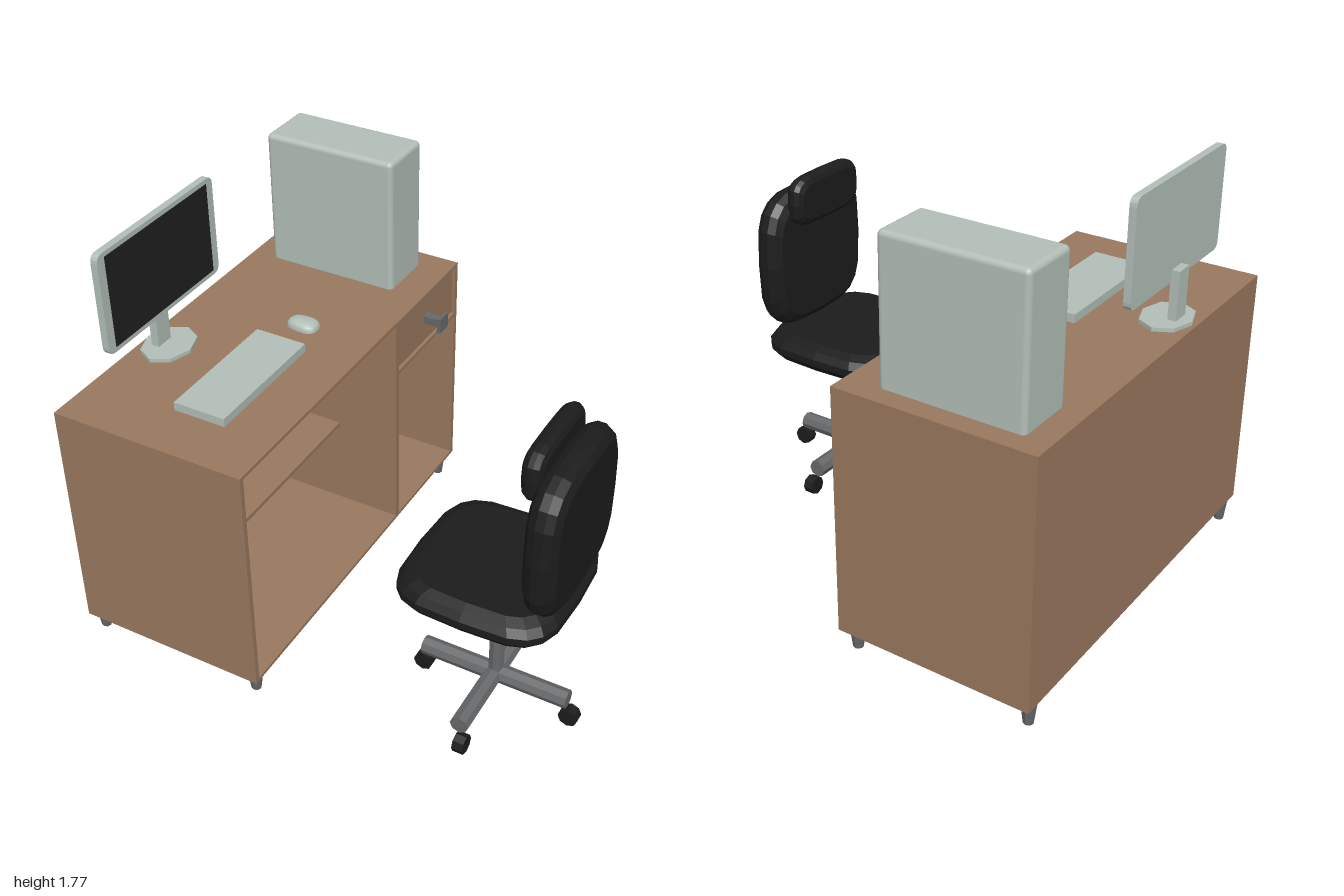
import * as THREE from 'three';
import { RoundedBoxGeometry } from 'three/addons/geometries/RoundedBoxGeometry.js';

const mat = (name, color) => {
  const m = new THREE.MeshStandardMaterial({ color });
  m.name = name;
  return m;
};

// Faceted normals
function flat(geo) {
  const g = geo.index ? geo.toNonIndexed() : geo;
  g.computeVertexNormals();
  return g;
}

// Padded cushion: rounded outline in XY, bevelled thickness along Z
function cushionGeometry(w, h, d, inset, power, sides = 20) {
  const profile = [[null, -1], [1, -1], [0.35, -0.72], [0, -0.25], [0, 0.25], [0.35, 0.72], [1, 1], [null, 1]];
  const pos = [], idx = [];
  const sp = v => Math.sign(v) * Math.abs(v) ** (2 / power);
  for (const [k, z] of profile) {
    for (let i = 0; i < sides; i++) {
      const a = (i / sides) * Math.PI * 2;
      const rx = k === null ? 0 : w / 2 - inset * k;
      const ry = k === null ? 0 : h / 2 - inset * k;
      pos.push(sp(Math.cos(a)) * rx, sp(Math.sin(a)) * ry, (z * d) / 2);
    }
  }
  for (let r = 0; r < profile.length - 1; r++) {
    for (let i = 0; i < sides; i++) {
      const a = r * sides + i, b = r * sides + ((i + 1) % sides);
      if (r > 0) idx.push(a, b, b + sides);
      if (r < profile.length - 2) idx.push(a, b + sides, a + sides);
      if (r === 0) idx.push(a, b + sides, a + sides);
    }
  }
  const g = new THREE.BufferGeometry();
  g.setAttribute('position', new THREE.Float32BufferAttribute(pos, 3));
  g.setIndex(idx);
  return flat(g);
}

export function createModel() {
  const wood = mat('wood', 0x99785f);
  const pale = mat('pale plastic', 0xb3bfb8);
  const metal = mat('grey metal', 0x66686a);
  const black = mat('black fabric', 0x1c1c1c);
  const screenBlack = mat('screen black', 0x202021);

  const model = new THREE.Group();
  model.name = 'workstation';
  const group = name => {
    const g = new THREE.Group();
    g.name = name;
    model.add(g);
    return g;
  };
  const add = (parent, name, geo, material, x = 0, y = 0, z = 0) => {
    const m = new THREE.Mesh(geo, material);
    m.name = name;
    m.position.set(x, y, z);
    parent.add(m);
    return m;
  };
  // Box given by its limits on each axis
  const box = (parent, name, material, x0, x1, y0, y1, z0, z1) =>
    add(parent, name, new THREE.BoxGeometry(x1 - x0, y1 - y0, z1 - z0), material,
      (x0 + x1) / 2, (y0 + y1) / 2, (z0 + z1) / 2);
  const cylinder = (rTop, rBottom, h, n = 8) => flat(new THREE.CylinderGeometry(rTop, rBottom, h, n));

  // Desk carcass, open towards +x
  const desk = group('desk');
  const X0 = -1, X1 = -0.167;
  box(desk, 'deskTop', wood, X0, X1, 1.155, 1.17, -0.858, 0.858);
  box(desk, 'deskBottom', wood, X0, X1, 0.13, 0.145, -0.858, 0.858);
  box(desk, 'leftPanel', wood, X0, X1, 0.145, 1.155, 0.836, 0.858);
  box(desk, 'rightPanel', wood, X0, X1, 0.145, 1.155, -0.858, -0.836);
  box(desk, 'backPanel', wood, X0, X0 + 0.02, 0.145, 1.155, -0.836, 0.836);
  box(desk, 'divider', wood, X0 + 0.02, X1, 0.145, 1.155, -0.323, -0.295);
  box(desk, 'shelf', wood, X0 + 0.02, -0.45, 0.548, 0.567, -0.295, 0.836);
  box(desk, 'drawerShelf', wood, X0 + 0.02, X1, 0.905, 0.922, -0.836, -0.323);

  // Drawer and pull
  box(desk, 'drawer', wood, -0.9, X1 - 0.006, 0.935, 1.152, -0.818, -0.333);
  box(desk, 'drawerPullStem', metal, -0.175, -0.1, 1.028, 1.064, -0.588, -0.55);
  box(desk, 'drawerPullPlate', metal, -0.1, -0.083, 1.012, 1.08, -0.604, -0.534);

  // Tapered feet
  for (const x of [-0.967, -0.212]) {
    for (const z of [-0.797, 0.797]) add(desk, 'deskFoot', cylinder(0.033, 0.021, 0.096), metal, x, 0.084, z);
  }

  // Computer tower, lower rounding sunk into the desk top
  const tower = group('computerTower');
  add(tower, 'towerCase', new RoundedBoxGeometry(0.592, 0.605, 0.258, 3, 0.022), pale, -0.604, 1.4535, -0.644);

  // Monitor
  const monitor = group('monitor');
  const zc = 0.287, hw = 0.362, hh = 0.215, r = 0.035;
  const frame = new THREE.Shape();
  frame.moveTo(-hw + r, -hh);
  frame.lineTo(hw - r, -hh);
  frame.quadraticCurveTo(hw, -hh, hw, -hh + r);
  frame.lineTo(hw, hh - r);
  frame.quadraticCurveTo(hw, hh, hw - r, hh);
  frame.lineTo(-hw + r, hh);
  frame.quadraticCurveTo(-hw, hh, -hw, hh - r);
  frame.lineTo(-hw, -hh + r);
  frame.quadraticCurveTo(-hw, -hh, -hw + r, -hh);
  const casing = new THREE.ExtrudeGeometry(frame, { depth: 0.03, bevelEnabled: false, curveSegments: 4 });
  casing.rotateY(Math.PI / 2);
  add(monitor, 'monitorCase', casing, pale, -0.902, 1.555, zc);
  box(monitor, 'screen', screenBlack, -0.873, -0.869, 1.362, 1.75, zc - 0.32, zc + 0.32);
  box(monitor, 'monitorNeck', pale, -0.935, -0.9, 1.18, 1.39, zc - 0.04, zc + 0.04);
  const base = add(monitor, 'monitorBase', cylinder(1, 1, 0.016), pale, -0.883, 1.18, zc - 0.004);
  base.scale.set(0.103, 1, 0.132);

  // Keyboard and mouse
  box(model, 'keyboard', pale, -0.613, -0.387, 1.17, 1.206, 0.053, 0.626);
  const mouse = new THREE.SphereGeometry(1, 20, 12);
  const p = mouse.attributes.position;
  const soft = v => Math.sign(v) * Math.abs(v) ** 0.75;
  for (let i = 0; i < p.count; i++) {
    const x = soft(p.getX(i));
    // Narrower towards the nose
    p.setXYZ(i, x * 0.07, soft(p.getY(i)) * 0.037, soft(p.getZ(i)) * 0.047 * (1 + 0.1 * x));
  }
  mouse.computeVertexNormals();
  add(model, 'mouse', mouse, pale, -0.492, 1.169, -0.102);

  // Chair, facing the desk
  const chair = group('chair');
  const cx = 0.637, cz = 0.335;
  const seat = cushionGeometry(0.668, 0.67, 0.125, 0.06, 4);
  seat.rotateX(-Math.PI / 2);
  add(chair, 'seat', seat, black, 0.62, 0.662, cz);
  const back = cushionGeometry(0.618, 0.632, 0.13, 0.045, 3.6);
  back.rotateY(Math.PI / 2);
  add(chair, 'backrest', back, black, 0.888, 1.028, cz);
  const head = cushionGeometry(0.424, 0.226, 0.082, 0.03, 4);
  head.rotateY(Math.PI / 2);
  add(chair, 'headrest', head, black, 0.803, 1.306, cz);

  // Column
  add(chair, 'columnSleeve', cylinder(0.058, 0.058, 0.16), metal, cx - 0.004, 0.53, cz);
  add(chair, 'column', cylinder(0.033, 0.033, 0.36), metal, cx - 0.004, 0.3, cz);

  // Crossed base tubes with a castor at each end
  const tubeX = cylinder(0.039, 0.039, 0.635);
  tubeX.rotateZ(Math.PI / 2);
  add(chair, 'baseTube', tubeX, metal, cx - 0.007, 0.122, cz);
  const tubeZ = cylinder(0.039, 0.039, 0.65);
  tubeZ.rotateX(Math.PI / 2);
  add(chair, 'baseTube', tubeZ, metal, cx - 0.007, 0.122, cz);
  for (const s of [-1, 1]) {
    const wheelX = cylinder(0.041, 0.041, 0.046);
    wheelX.rotateX(Math.PI / 2);
    add(chair, 'castor', wheelX, black, cx + s * 0.322, 0.041, cz);
    const wheelZ = cylinder(0.041, 0.041, 0.046);
    wheelZ.rotateZ(Math.PI / 2);
    add(chair, 'castor', wheelZ, black, cx + 0.01, 0.041, cz + s * 0.334);
  }

  return model;
}
